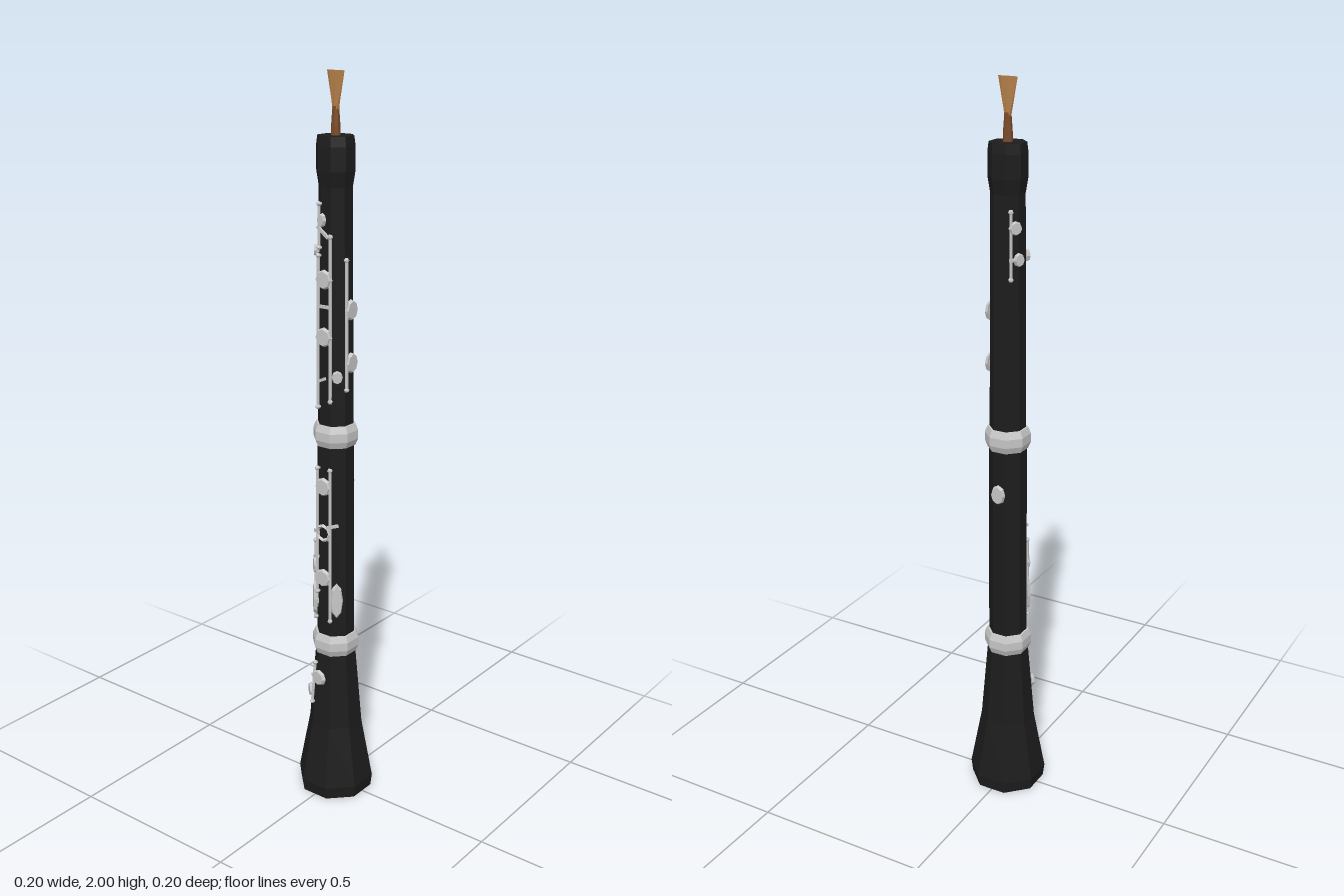
import * as THREE from 'three';

const mat = (name, color) => {
  const m = new THREE.MeshStandardMaterial({ color });
  m.name = name;
  return m;
};
const rad = THREE.MathUtils.degToRad;

// Outer profile of the wooden body: [distance to flat side, height]
const OUTER = [
  [0.096, 0], [0.1, 0.035], [0.07, 0.21], [0.053, 0.43], [0.049, 0.49], [0.047, 1.04],
  [0.045, 1.1], [0.041, 1.72], [0.047, 1.76], [0.047, 1.82], [0.044, 1.845],
];

// Distance from the axis to the body surface at height y and angle a (degrees, 0 = front)
function surface(y, a) {
  let r = 0.045;
  for (let i = 1; i < OUTER.length; i++) {
    const [r0, y0] = OUTER[i - 1], [r1, y1] = OUTER[i];
    if (y >= y0 && y <= y1) r = r0 + (r1 - r0) * (y - y0) / (y1 - y0);
  }
  const off = a - Math.round(a / 45) * 45;
  return r / Math.cos(rad(off));
}

export function createModel() {
  const wood = mat('black wood', 0x1c1c1c);
  const silver = mat('silver', 0xc6c6c6);
  const cane = mat('cane', 0xb07c46);
  const thread = mat('reed binding', 0x7a4a28);
  const model = new THREE.Group();
  model.name = 'woodwind';

  // Adds a faceted mesh
  function add(name, geometry, material, parent = model) {
    const g = geometry.index ? geometry.toNonIndexed() : geometry;
    g.computeVertexNormals();
    const mesh = new THREE.Mesh(g, material);
    mesh.name = name;
    parent.add(mesh);
    return mesh;
  }
  // Eight-sided turned part with flat sides facing the axes
  function turned(name, profile, material) {
    const pts = profile.map(([r, y]) => new THREE.Vector2(r / Math.cos(Math.PI / 8), y));
    return add(name, new THREE.LatheGeometry(pts, 8, Math.PI / 8), material);
  }
  // Group standing on the body surface, its local z pointing outwards
  function mount(name, y, a, lift = 0) {
    const g = new THREE.Group();
    const r = surface(y, a) + lift;
    g.name = name;
    g.position.set(Math.sin(rad(a)) * r, y, Math.cos(rad(a)) * r);
    g.rotation.y = rad(a);
    model.add(g);
    return g;
  }

  // Body with hollow bell
  turned('body', [[0, 0.45], [0.025, 0.45], [0.05, 0.2], [0.082, 0.02], [0.086, 0], ...OUTER, [0, 1.845]], wood);

  // Joint rings
  for (const y of [0.46, 1.07]) {
    const r = y < 1 ? 0.054 : 0.05;
    turned('jointRing', [[r - 0.006, y - 0.03], [r, y - 0.03], [r + 0.007, y - 0.012],
      [r + 0.007, y + 0.012], [r, y + 0.03], [r - 0.006, y + 0.03]], silver);
  }

  // Reed: bound tube and flattened blade
  turned('reedTube', [[0.012, 1.84], [0.011, 1.87], [0.008, 1.915], [0, 1.915]], thread);
  const blade = new THREE.CylinderGeometry(0.027, 0.009, 0.095, 8, 1);
  const p = blade.attributes.position;
  for (let i = 0; i < p.count; i++) p.setZ(i, p.getZ(i) * (p.getY(i) > 0 ? 0.1 : 0.9));
  add('reedBlade', blade, cane).position.y = 1.9525;

  // Round or oval key pad with a raised cap
  function pad(y, a, w = 0.052, h = w) {
    const g = mount('key', y, a);
    const disc = new THREE.CylinderGeometry(0.42, 0.5, 0.009, 8).rotateX(Math.PI / 2).scale(w, h, 1);
    add('keyCup', disc, silver, g).position.z = 0.009;
    const stem = new THREE.CylinderGeometry(0.28, 0.28, 0.008, 6).rotateX(Math.PI / 2).scale(w, h, 1);
    add('keyStem', stem, silver, g).position.z = 0.002;
  }
  // Open ring key
  function ringKey(y, a) {
    const g = mount('ringKey', y, a);
    add('ring', new THREE.TorusGeometry(0.021, 0.0055, 4, 8), silver, g).position.z = 0.007;
  }
  // Hinge rod along the body, with a post at each end
  function rod(y0, y1, a, thick = 0.0045) {
    const at = y => {
      const r = surface(y, a) + 0.006;
      return new THREE.Vector3(Math.sin(rad(a)) * r, y, Math.cos(rad(a)) * r);
    };
    const path = new THREE.LineCurve3(at(y0), at(y1));
    add('hingeRod', new THREE.TubeGeometry(path, 1, thick, 6), silver);
    for (const y of [y0, y1]) {
      const g = mount('post', y, a);
      add('postFoot', new THREE.CylinderGeometry(0.004, 0.004, 0.012, 6).rotateX(Math.PI / 2), silver, g);
      add('postBall', new THREE.IcosahedronGeometry(0.0075), silver, g).position.z = 0.006;
    }
  }
  // Short arm joining a pad to its rod
  function arm(y, a, w, tilt = 0) {
    const g = mount('keyArm', y, a, 0.007);
    g.rotation.order = 'YXZ';
    g.rotation.z = rad(tilt);
    add('armBar', new THREE.BoxGeometry(w, 0.008, 0.006), silver, g);
  }

  // Upper joint, front
  rod(1.17, 1.6, 22);
  rod(1.15, 1.55, -22);
  for (const y of [1.49, 1.34]) {
    pad(y, 0);
    arm(y, 0, 0.046);
  }
  arm(1.42, 0, 0.04);
  pad(1.64, -8, 0.026, 0.036);
  arm(1.61, -4, 0.045, -35);
  rod(1.57, 1.68, -20, 0.004);
  pad(1.235, 42, 0.03, 0.036);
  arm(1.225, -8, 0.03, 25);

  // Upper joint, left side
  rod(1.2, 1.54, 70);
  for (const y of [1.41, 1.27]) {
    pad(y, 90, 0.046, 0.056);
    arm(y, 84, 0.03);
  }

  // Upper joint, octave keys at the back right
  rod(1.51, 1.68, -142);
  pad(1.64, -128, 0.036);
  pad(1.56, -118, 0.03, 0.036);
  arm(1.56, -130, 0.03);
  pad(1.56, -50, 0.026, 0.032);

  // Lower joint, front
  rod(0.54, 0.98, 22);
  rod(0.62, 0.98, -22);
  for (const y of [0.93, 0.665]) {
    pad(y, 0);
    arm(y, 0, 0.046);
  }
  ringKey(0.797, 0);
  arm(0.82, 28, 0.035, 15);
  arm(0.797, -24, 0.024);

  // Lower joint, little finger keys
  pad(0.6, 40, 0.036, 0.105);
  rod(0.53, 0.76, -50);
  pad(0.59, -45, 0.036, 0.105);
  pad(0.69, -42, 0.028, 0.05);
  arm(0.72, -30, 0.03, 20);

  // Thumb key at the back
  pad(0.92, 180, 0.042, 0.056);

  // Bell keys
  rod(0.28, 0.4, -24);
  pad(0.36, -8, 0.05, 0.046);
  pad(0.305, -42, 0.04, 0.04);
  arm(0.36, -20, 0.03);
  arm(0.305, -32, 0.025);

  return model;
}
